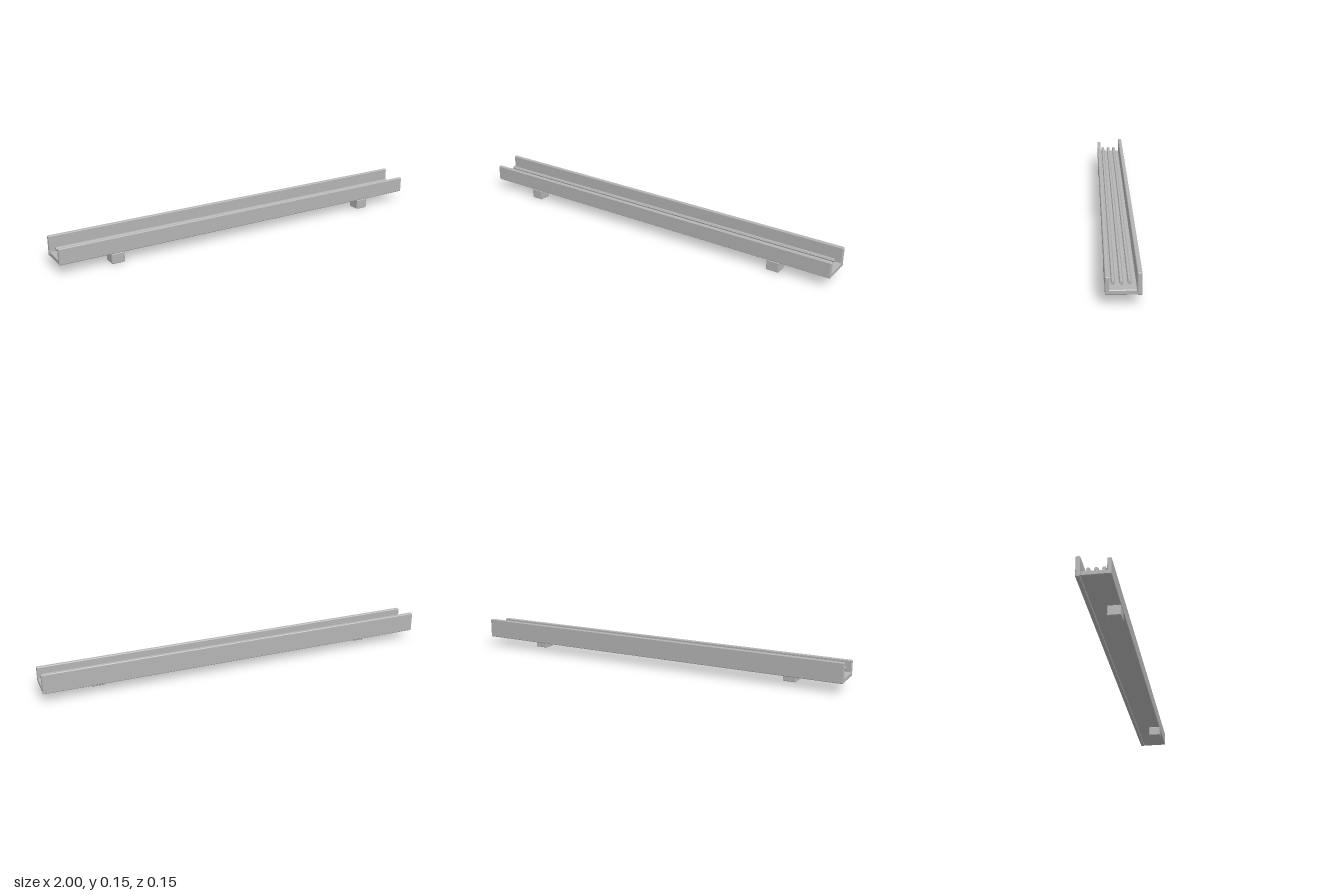
import * as THREE from 'three';

const BEVEL = 0.003;

// Extrude a (z, y) outline along x, centred, with small chamfers at both ends.
function extrudeAlongX(outline, length, material, name) {
  const shape = new THREE.Shape(outline.map(([z, y]) => new THREE.Vector2(-z, y)));
  const geometry = new THREE.ExtrudeGeometry(shape, {
    depth: length - 2 * BEVEL,
    bevelEnabled: true, bevelThickness: BEVEL,
    bevelSize: BEVEL, bevelOffset: -BEVEL, bevelSegments: 1,
  });
  geometry.translate(0, 0, -length / 2 + BEVEL);
  geometry.rotateY(Math.PI / 2);
  const mesh = new THREE.Mesh(geometry, material);
  mesh.name = name;
  return mesh;
}

// Rectangle outline with cut corners
function cutRect(z0, z1, y0, y1, c = BEVEL) {
  return [
    [z1 - c, y0], [z0 + c, y0], [z0, y0 + c], [z0, y1 - c],
    [z0 + c, y1], [z1 - c, y1], [z1, y1 - c], [z1, y0 + c],
  ];
}

export function createModel() {
  const group = new THREE.Group();
  group.name = 'trough';
  const grey = new THREE.MeshStandardMaterial({ color: 0xb4b4b4, flatShading: true });
  grey.name = 'plain grey';

  // L-shaped tray: floor and low front wall in one piece
  const c = BEVEL;
  group.add(extrudeAlongX([
    [0.074 - c, 0.05], [-0.054 + c, 0.05], [-0.054, 0.05 + c], [-0.054, 0.072 - c],
    [-0.054 + c, 0.072], [0.056, 0.072], [0.056, 0.128 - c], [0.056 + c, 0.128],
    [0.074 - c, 0.128], [0.074, 0.128 - c], [0.074, 0.05 + c],
  ], 2, grey, 'tray'));

  // Taller back wall
  group.add(extrudeAlongX(cutRect(-0.074, -0.055, 0.048, 0.146), 2, grey, 'backWall'));

  // Six-sided rods running the length of the tray
  [0.041, 0.008, -0.025].forEach((z, i) => {
    const geometry = new THREE.CylinderGeometry(0.0088, 0.0088, 1.955, 6);
    geometry.rotateY(Math.PI / 2).rotateZ(Math.PI / 2);
    geometry.rotateX(Math.PI / 2);
    const rod = new THREE.Mesh(geometry, grey);
    rod.name = `rod${i + 1}`;
    rod.position.set(-0.002, 0.091, z);
    group.add(rod);
  });

  // Two mounting feet under the front edge
  for (const side of [-1, 1]) {
    const foot = extrudeAlongX(cutRect(0.012, 0.074, 0, 0.05), 0.065, grey, side > 0 ? 'leftFoot' : 'rightFoot');
    foot.position.x = side * 0.72;
    group.add(foot);
  }
  return group;
}
